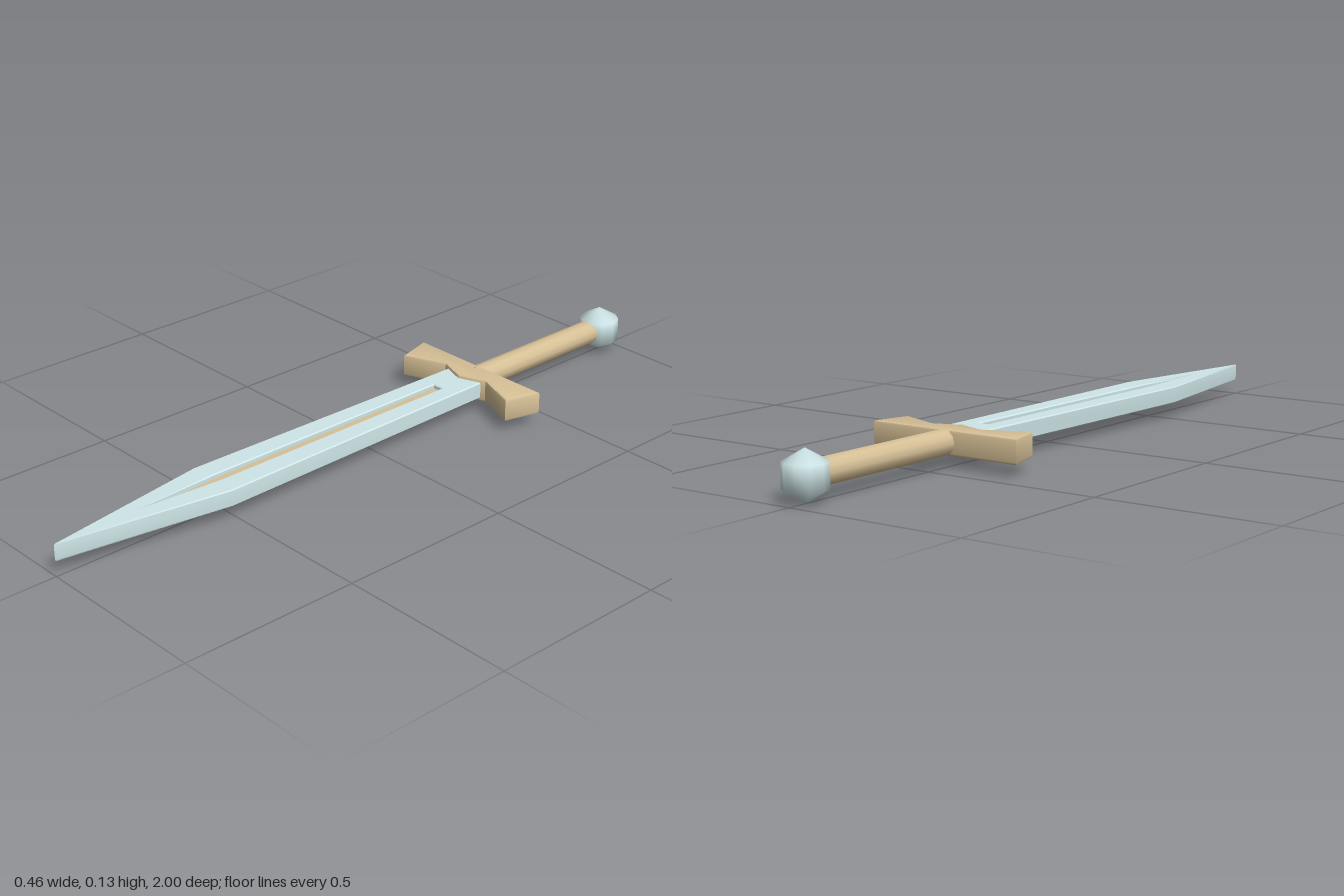
import * as THREE from 'three';
import { toCreasedNormals } from 'three/addons/utils/BufferGeometryUtils.js';

const MID_Y = 0.067;
const steel = new THREE.MeshStandardMaterial({ color: 0xcfe6e8 });
const brass = new THREE.MeshStandardMaterial({ color: 0xd6c096 });

// Mirrors a right-hand outline of [x, z] points across x = 0
function mirrored(points) {
  const left = points.filter(([x]) => x > 0).map(([x, z]) => [-x, z]).reverse();
  return [...points, ...left].map(([x, z]) => new THREE.Vector2(x, z));
}

// Lays an extruded outline flat, centred on the sword's mid plane
function slab(shape, thickness, bevel, segments = 1) {
  const geometry = new THREE.ExtrudeGeometry(shape, {
    depth: thickness - 2 * bevel,
    bevelEnabled: bevel > 0,
    bevelSize: bevel,
    bevelThickness: bevel,
    bevelOffset: -bevel,
    bevelSegments: segments,
  });
  geometry.translate(0, 0, bevel - thickness / 2);
  geometry.rotateX(Math.PI / 2);
  return toCreasedNormals(geometry, 0.6);
}

export function createModel() {
  const sword = new THREE.Group();
  sword.name = 'sword';

  function add(name, geometry, material, z = 0) {
    const mesh = new THREE.Mesh(geometry, material);
    mesh.name = name;
    mesh.position.set(0, MID_Y, z);
    sword.add(mesh);
  }

  // Blade with a slot that forms the groove on both faces
  const groove = mirrored([[0.016, -0.275], [0.016, 0.5], [0, 0.75]]);
  const blade = new THREE.Shape(mirrored([[0.064, -0.4], [0.079, 0.52], [0, 1]]));
  blade.holes.push(new THREE.Path(groove));
  add('blade', slab(blade, 0.048, 0.003), steel);

  // Sunken strip on the groove floor
  const strip = new THREE.Shape(mirrored([[0.018, -0.278], [0.018, 0.5], [0, 0.755]]));
  add('grooveInlay', slab(strip, 0.024, 0), brass);

  // Flared crossguard
  const guard = new THREE.Shape(
    mirrored([[0.228, -0.44], [0.2, -0.335], [0.078, -0.382], [0, -0.353]]),
  );
  add('crossguard', slab(guard, 0.066, 0.007, 2), brass);

  // Grip
  const grip = new THREE.CylinderGeometry(0.035, 0.035, 0.49, 12);
  grip.rotateX(Math.PI / 2);
  add('grip', grip, brass, -0.665);

  // Faceted pommel
  add('pommel', new THREE.SphereGeometry(0.066, 10, 3), steel, -0.944);

  return sword;
}
